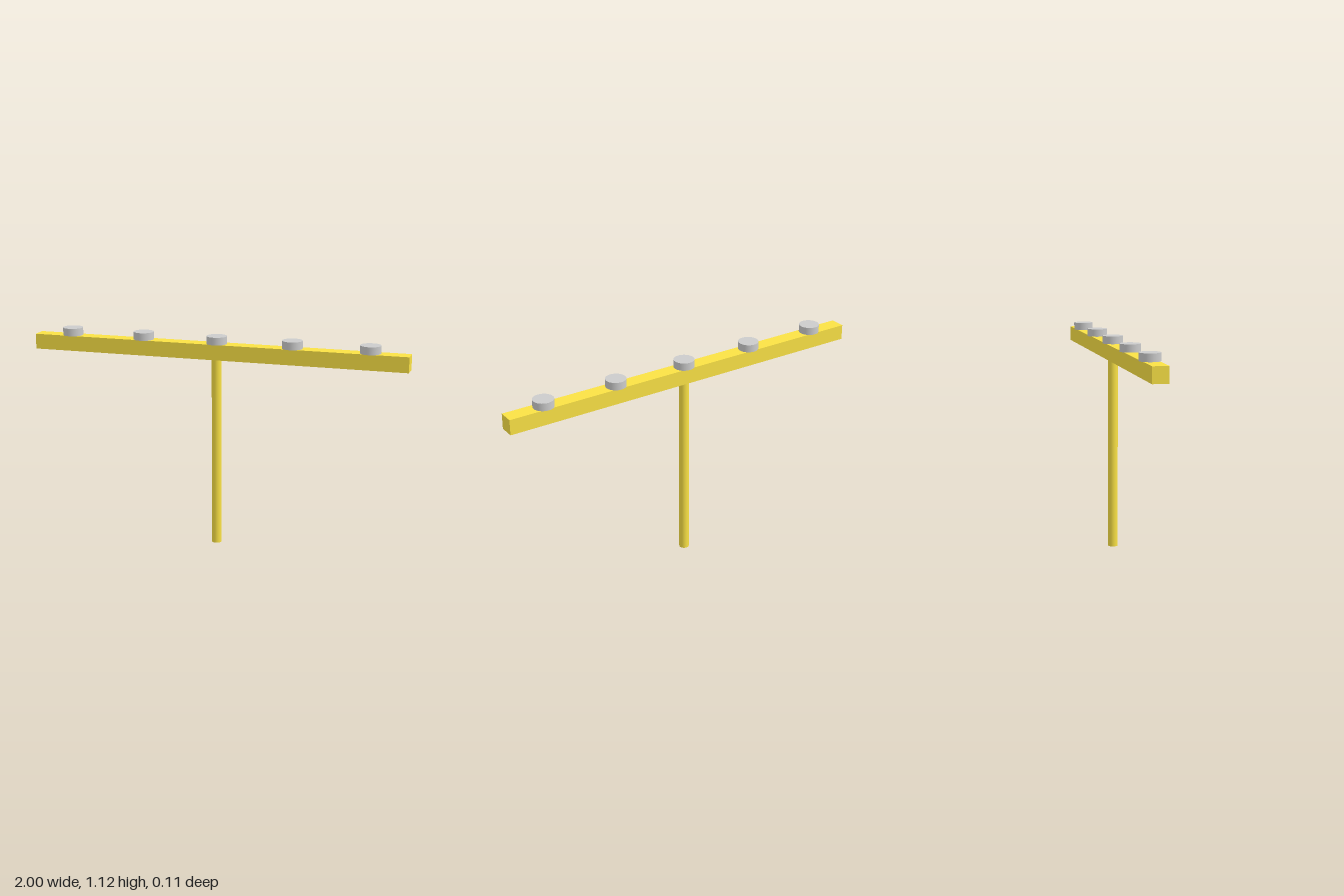
import * as THREE from 'three';

export function createModel() {
  const group = new THREE.Group();
  const yellow = new THREE.MeshStandardMaterial({ color: 0xfae245 });
  const grey = new THREE.MeshStandardMaterial({ color: 0xcccccc });

  const add = (name, geometry, material, x, y) => {
    const mesh = new THREE.Mesh(geometry, material);
    mesh.name = name;
    mesh.position.set(x, y, 0);
    group.add(mesh);
  };

  // Upright post carrying the crossbar
  add('post', new THREE.CylinderGeometry(0.026, 0.026, 1, 32), yellow, 0, 0.5);
  add('crossbar', new THREE.BoxGeometry(2, 0.08, 0.08), yellow, 0, 1.04);

  // Row of evenly spaced discs on top of the bar
  const disc = new THREE.CylinderGeometry(0.053, 0.053, 0.04, 32);
  for (let i = -2; i <= 2; i++) add(`disc${i + 3}`, disc, grey, i * 0.4, 1.1);

  return group;
}
